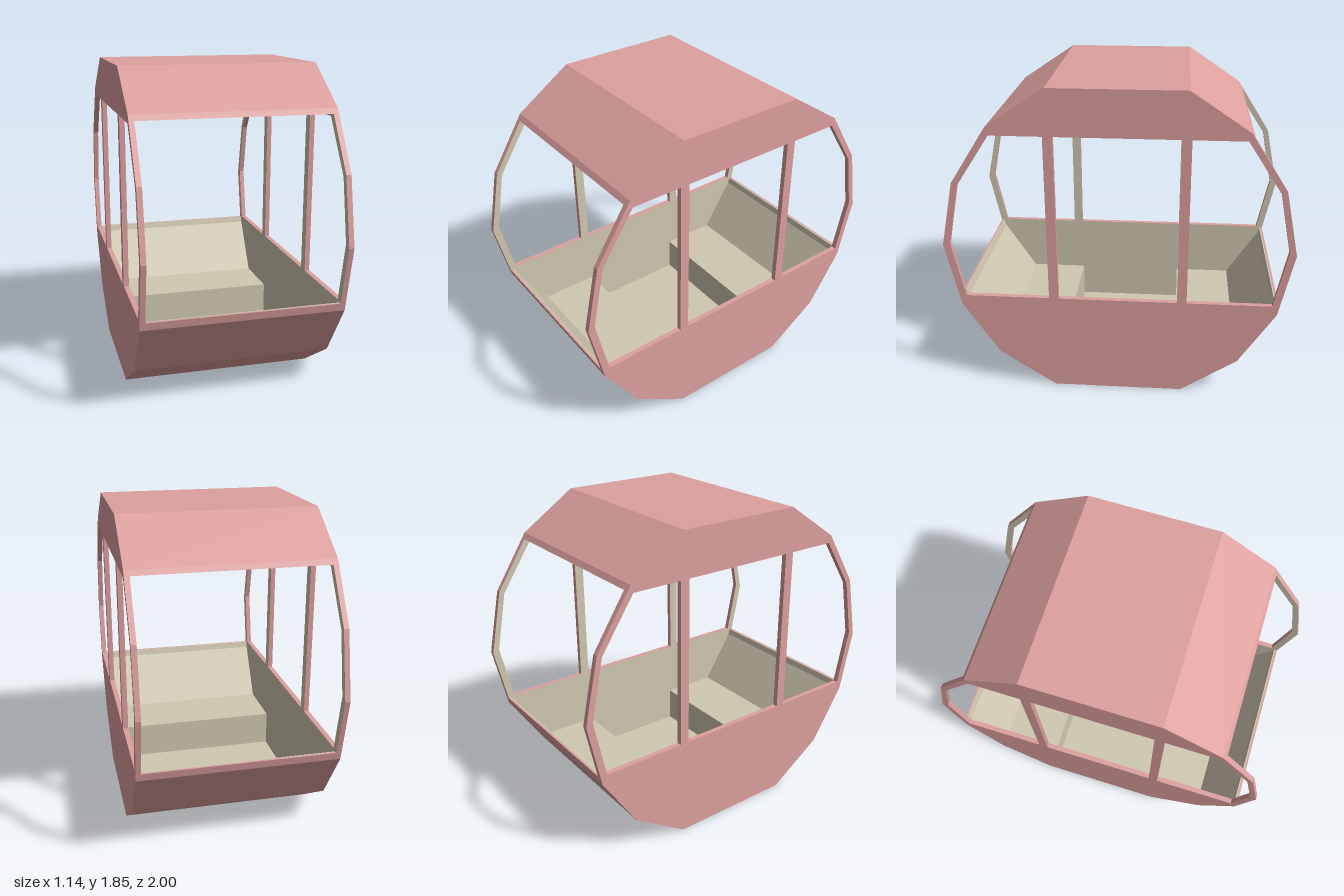
import * as THREE from 'three';

const MID = 0.925; // height of the cabin's centre
const HALF = 0.57; // half width
const WALL = 0.03; // side wall thickness

const paint = new THREE.MeshStandardMaterial({ color: 0xdc9f9e });
paint.name = 'pinkPaint';
const lining = new THREE.MeshStandardMaterial({ color: 0xcfc7b0 });
lining.name = 'beigeLining';

const toShape = (pts) => new THREE.Shape(pts.map(([z, y]) => new THREE.Vector2(z, y)));
const mirrorZ = (pts) => pts.map(([z, y]) => [-z, y]).reverse();

// Extrudes a (z, y) profile across the cabin, centred on x = 0
function across(name, pts, width, material) {
  const g = new THREE.ExtrudeGeometry(toShape(pts), { depth: width, bevelEnabled: false });
  g.translate(0, 0, -width / 2);
  g.rotateY(-Math.PI / 2);
  const mesh = new THREE.Mesh(g, material);
  mesh.name = name;
  return mesh;
}

// Half profile pushed inwards; its last point stays level with the opening
function inset(half, d) {
  const s = 1 - d / 0.95;
  return half.map(([z, y], i) => [z * s, i === half.length - 1 ? y : MID + (y - MID) * s]);
}

// Curved band between two inset depths, from front opening to back opening
function band(half, d0, d1) {
  const full = (d) => [...mirrorZ(inset(half, d)), ...inset(half, d)];
  return [...full(d0), ...full(d1).reverse()];
}

// Side wall with three windows: painted panel and a lining on its inner face
function sideWall(name) {
  const quarter = [[0.38, 0], [0.71, 0.22], [0.92, 0.545], [1, MID], [0.92, 1.305], [0.71, 1.63], [0.38, 1.85]];
  const shape = toShape([...quarter, ...mirrorZ(quarter)]);
  const endWindow = [[0.4, 0.6], [0.89, 0.6], [0.96, 0.94], [0.89, 1.29], [0.695, 1.585], [0.4, 1.585]];
  const middle = [[-0.345, 0.6], [0.345, 0.6], [0.345, 1.585], [-0.345, 1.585]];
  for (const hole of [endWindow, mirrorZ(endWindow), middle]) {
    shape.holes.push(new THREE.Path(hole.map(([z, y]) => new THREE.Vector2(z, y))));
  }
  const wall = new THREE.Group();
  wall.name = name;

  const panelGeo = new THREE.ExtrudeGeometry(shape, { depth: WALL, bevelEnabled: false });
  panelGeo.rotateY(-Math.PI / 2);
  panelGeo.translate(HALF, 0, 0);
  const panel = new THREE.Mesh(panelGeo, paint);
  panel.name = 'windowPanel';

  const liningGeo = new THREE.ShapeGeometry(shape);
  liningGeo.rotateY(-Math.PI / 2);
  liningGeo.translate(HALF - WALL - 0.001, 0, 0);
  const inner = new THREE.Mesh(liningGeo, lining);
  inner.name = 'wallLining';

  wall.add(panel, inner);
  return wall;
}

export function createModel() {
  const cabin = new THREE.Group();
  cabin.name = 'gondolaCabin';

  // Side walls
  const left = sideWall('leftWall');
  const right = sideWall('rightWall');
  right.rotation.y = Math.PI;
  cabin.add(left, right);

  // Tub below the openings and roof above them, each painted outside and lined inside
  const width = 2 * (HALF - WALL);
  const tub = [[0.38, 0], [0.71, 0.22], [0.92, 0.545], [0.93, 0.59]];
  const roof = [[0.38, 1.85], [0.71, 1.63], [0.73, 1.6]];
  for (const [name, half] of [['tub', tub], ['roof', roof]]) {
    cabin.add(across(name + 'Shell', band(half, 0, 0.012), width, paint));
    cabin.add(across(name + 'Lining', band(half, 0.012, 0.02), width, lining));
  }

  // Facing benches at front and back
  const bench = [[0.34, 0.015], [0.385, 0.015], [0.695, 0.225], [0.705, 0.24], [0.34, 0.24]];
  cabin.add(across('frontBench', bench, width, lining));
  cabin.add(across('backBench', mirrorZ(bench), width, lining));

  return cabin;
}
